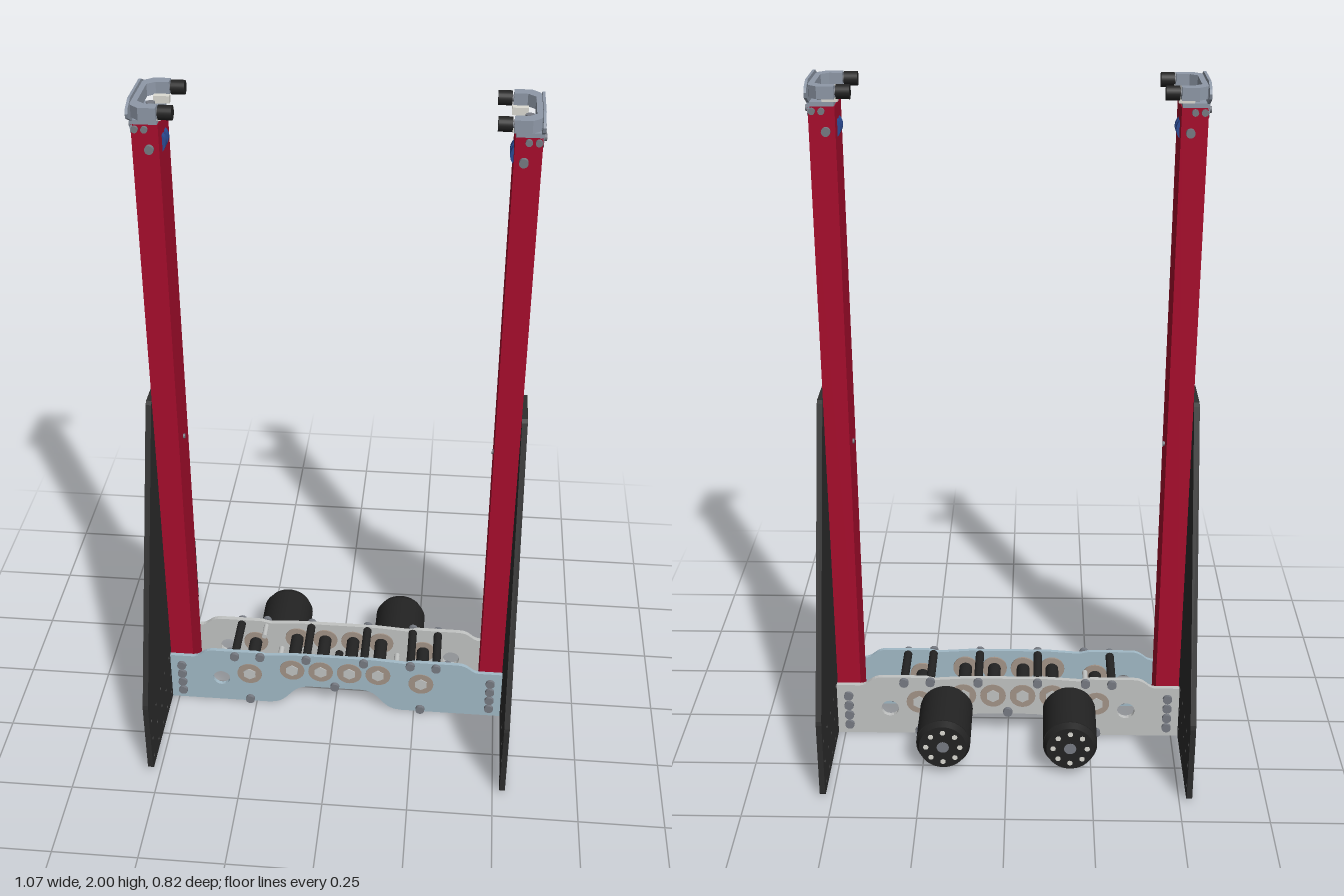
import * as THREE from 'three';

const mat = (name, color) => Object.assign(new THREE.MeshStandardMaterial({ color }), { name });
const M = {
  red: mat('red tube', 0xa90d2d),
  black: mat('black panel', 0x2d2d2d),
  rubber: mat('dark rubber', 0x232323),
  blueAlu: mat('pale blue aluminium', 0xa2bac7),
  alu: mat('light aluminium', 0xc2c4c3),
  bracket: mat('bracket grey', 0x8f99a8),
  steel: mat('bolt steel', 0x777b83),
  tan: mat('bearing tan', 0xa39488),
  blue: mat('blue pulley', 0x2b4c96),
  white: mat('white nylon', 0xdddcd4),
};

function add(parent, name, geo, material, x = 0, y = 0, z = 0) {
  const m = new THREE.Mesh(geo, material);
  m.name = name;
  m.position.set(x, y, z);
  parent.add(m);
  return m;
}

// cylinder centred at a point, along the given axis
function rod(parent, name, material, r, len, axis, x, y, z, r2 = r, seg = 24) {
  const g = new THREE.CylinderGeometry(r2, r, len, seg);
  if (axis === 'x') g.rotateZ(-Math.PI / 2);
  if (axis === 'z') g.rotateX(Math.PI / 2);
  return add(parent, name, g, material, x, y, z);
}

const poly = pts => new THREE.Shape(pts.map(p => new THREE.Vector2(...p)));
function hole(shape, x, y, r) {
  const p = new THREE.Path();
  p.absarc(x, y, r, 0, Math.PI * 2, true);
  shape.holes.push(p);
}
const extrude = (shape, depth) =>
  new THREE.ExtrudeGeometry(shape, { depth, bevelEnabled: false, curveSegments: 8 });
// profile drawn in (z, y), thickness from x0 to x1
const extrudeX = (shape, x0, x1) => extrude(shape, x1 - x0).rotateY(-Math.PI / 2).translate(x1, 0, 0);
// profile drawn in (x, -z), thickness from y0 to y1
const extrudeY = (shape, y0, y1) => extrude(shape, y1 - y0).rotateX(-Math.PI / 2).translate(0, y0, 0);

function rect(a, b, c, d) { return [[a, b], [c, b], [c, d], [a, d]]; }

// one upright with its panel and top bracket, on the +x side
function createUpright() {
  const g = new THREE.Group();

  // tapered side panel with drilled holes
  const s = poly([[-0.4, 0.008], [0.4, 0.008], [0.41, 0.018], [0.41, 0.25], [0.407, 0.262], [0.075, 1.097],
    [0.064, 1.105], [-0.064, 1.105], [-0.075, 1.097], [-0.407, 0.262], [-0.41, 0.25], [-0.41, 0.018]]);
  for (const y of [0.04, 0.11, 0.18])
    for (let i = 0; i < 5; i++)
      for (const k of [-1, 1]) hole(s, k * (0.1 + i * 0.07), y, 0.007);
  for (let i = 0; i < 12; i++) hole(s, 0, 0.28 + i * 0.069, 0.006);
  add(g, 'sidePanel', extrudeX(s, 0.521, 0.537), M.black);

  // hollow rectangular post
  const post = poly(rect(0.45, -0.068, 0.52, 0.068));
  post.holes.push(new THREE.Path(rect(0.456, -0.062, 0.514, 0.062).reverse().map(p => new THREE.Vector2(...p))));
  add(g, 'post', extrudeY(post, 0.01, 1.93), M.red);
  rod(g, 'postScrew', M.steel, 0.007, 0.008, 'x', 0.449, 0.95, 0);

  // top bracket: outer plate, floor and C-shaped rim
  const plate = poly([[-0.06, 1.903], [0.06, 1.903], [0.068, 1.912], [0.068, 1.94], [0.095, 1.953], [0.108, 1.96],
    [0.112, 1.973], [0.105, 1.985], [0.07, 2], [-0.07, 2], [-0.105, 1.985], [-0.112, 1.973], [-0.108, 1.96],
    [-0.095, 1.953], [-0.068, 1.94], [-0.068, 1.912]]);
  for (const z of [-0.035, 0, 0.035]) hole(plate, z, 1.972, 0.007);
  add(g, 'bracketPlate', extrudeX(plate, 0.515, 0.522), M.bracket);
  add(g, 'bracketFloor', new THREE.BoxGeometry(0.068, 0.012, 0.136), M.bracket, 0.486, 1.936, 0);
  const rim = poly([[0.445, -0.11], [0.49, -0.11], [0.512, -0.09], [0.519, -0.06], [0.519, 0.06], [0.512, 0.09],
    [0.49, 0.11], [0.445, 0.11], [0.445, 0.078], [0.48, 0.078], [0.5, 0.06], [0.5, -0.06], [0.48, -0.078], [0.445, -0.078]]);
  add(g, 'bracketRim', extrudeY(rim, 1.957, 1.99), M.bracket);

  for (const k of [-1, 1]) {
    rod(g, 'bracketBumper', M.rubber, 0.019, 0.036, 'x', 0.423, 1.973, k * 0.091);
    rod(g, 'bumperPin', M.steel, 0.009, 0.03, 'x', 0.445, 1.973, k * 0.091);
    add(g, 'guideBlock', new THREE.BoxGeometry(0.042, 0.02, 0.018), M.white, 0.462, 1.952, k * 0.06);
    rod(g, 'bluePulley', M.blue, 0.034, 0.02, 'z', 0.475, 1.865, k * 0.017);
    rod(g, 'pulleyBolt', M.steel, 0.012, 0.012, 'z', 0.475, 1.865, k * 0.073);
    for (const x of [0.485, 0.51]) rod(g, 'bracketBolt', M.steel, 0.009, 0.01, 'z', x, 1.918, k * 0.071);
  }
  for (const z of [-0.035, 0, 0.035]) {
    rod(g, 'floorBolt', M.steel, 0.012, 0.012, 'y', 0.487, 1.946, z);
    rod(g, 'plateBolt', M.steel, 0.009, 0.012, 'x', 0.524, 1.92, z);
    rod(g, 'crossBolt', M.steel, 0.012, 0.02, 'y', 0.35, 0.1, z);
  }
  return g;
}

// gearbox plate outline, arched below and stepped above
function gearboxShape(holeXs) {
  const s = new THREE.Shape();
  s.moveTo(-0.522, 0.006);
  s.lineTo(-0.21, 0.006);
  s.bezierCurveTo(-0.14, 0.006, -0.15, 0.08, -0.08, 0.08);
  s.lineTo(0.08, 0.08);
  s.bezierCurveTo(0.15, 0.08, 0.14, 0.006, 0.21, 0.006);
  s.lineTo(0.522, 0.006);
  s.lineTo(0.522, 0.176);
  s.lineTo(0.45, 0.176);
  s.bezierCurveTo(0.42, 0.176, 0.42, 0.205, 0.38, 0.205);
  s.lineTo(0.25, 0.205);
  s.lineTo(0.22, 0.198);
  s.lineTo(0.12, 0.205);
  s.lineTo(-0.12, 0.205);
  s.lineTo(-0.22, 0.198);
  s.lineTo(-0.25, 0.205);
  s.lineTo(-0.38, 0.205);
  s.bezierCurveTo(-0.42, 0.205, -0.42, 0.176, -0.45, 0.176);
  s.lineTo(-0.522, 0.176);
  for (const x of holeXs) hole(s, x, 0.095, 0.027);
  return s;
}

function createGearbox() {
  const g = new THREE.Group();
  add(g, 'frontPlate', extrude(gearboxShape([-0.36]), 0.012), M.blueAlu, 0, 0, 0.069);
  add(g, 'backPlate', extrude(gearboxShape([-0.36, 0.36]), 0.014), M.alu, 0, 0, -0.088);

  // rollers carried in bearings
  for (const [x, y] of [[-0.27, 0.12], [-0.135, 0.145], [-0.045, 0.145], [0.045, 0.145], [0.135, 0.145], [0.27, 0.12]]) {
    rod(g, 'roller', M.rubber, 0.02, 0.136, 'z', x, y, -0.004);
    for (const [z, k] of [[0.073, 1], [-0.08, -1]]) {
      rod(g, 'bearing', M.tan, 0.039, 0.02, 'z', x, y, z);
      rod(g, 'bearingHub', M.alu, 0.021, 0.006, 'z', x, y, z + k * 0.01, 0.021, 6);
    }
  }

  // spacers with a bolt at each end
  const spots = [[0, 0.09]];
  for (const k of [-1, 1])
    spots.push([k * 0.315, 0.19], [k * 0.235, 0.193], [k * 0.09, 0.193], [k * 0.27, 0.018]);
  for (const [x, y] of spots) {
    if (x !== -0.235) rod(g, 'spacer', M.rubber, 0.013, 0.144, 'z', x, y, -0.003);
    rod(g, 'spacerBolt', M.steel, 0.014, 0.012, 'z', x, y, 0.086);
    rod(g, 'spacerBolt', M.steel, 0.014, 0.012, 'z', x, y, -0.093);
  }
  rod(g, 'shortShaft', M.alu, 0.008, 0.055, 'z', -0.235, 0.188, -0.047);

  // bolts into the posts
  for (const x of [-0.485, 0.485])
    for (const y of [0.038, 0.072, 0.106, 0.14])
      for (const z of [0.085, -0.092]) rod(g, 'postBolt', M.steel, 0.014, 0.01, 'z', x, y, z);

  // motors behind the back plate
  for (const x of [-0.187, 0.187]) {
    rod(g, 'motorBody', M.rubber, 0.08, 0.18, 'z', x, 0.097, -0.178, 0.08, 40);
    rod(g, 'motorCap', M.rubber, 0.07, 0.022, 'z', x, 0.097, -0.279, 0.078, 40);
    rod(g, 'motorShaft', M.alu, 0.009, 0.11, 'z', x, 0.097, -0.037);
    rod(g, 'motorEnd', M.steel, 0.018, 0.002, 'z', x, 0.097, -0.2905);
    for (let i = 0; i < 8; i++) {
      const a = i * Math.PI / 4;
      rod(g, 'motorVent', M.white, 0.008, 0.002, 'z', x + 0.05 * Math.cos(a), 0.097 + 0.05 * Math.sin(a), -0.2905, 0.008, 12);
    }
  }
  return g;
}

export function createModel() {
  const model = new THREE.Group();
  model.name = 'liftFrame';
  const left = createUpright();
  left.name = 'leftUpright';
  const right = createUpright();
  right.name = 'rightUpright';
  right.rotation.y = Math.PI;
  const gearbox = createGearbox();
  gearbox.name = 'gearbox';
  model.add(left, right, gearbox);
  return model;
}
